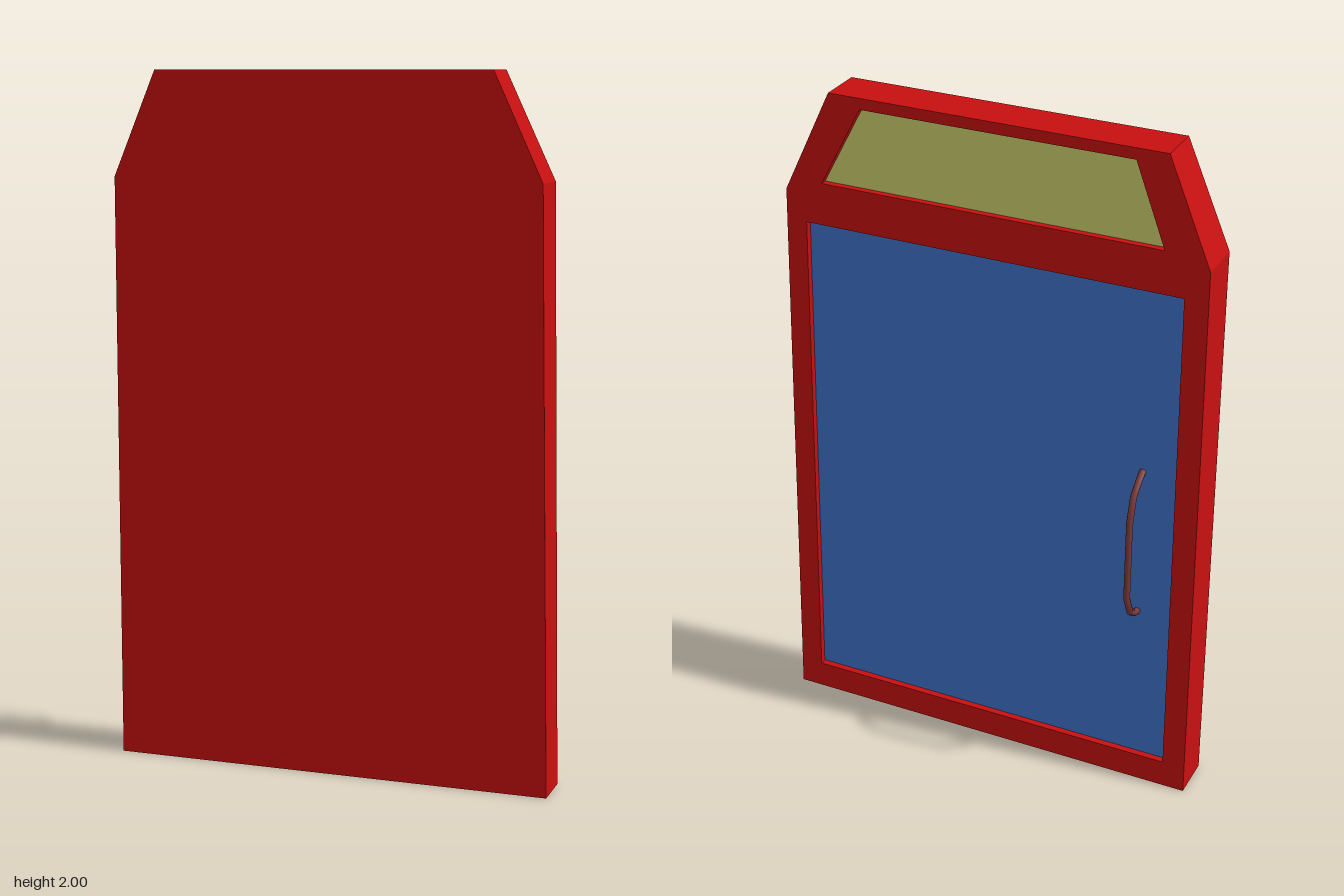
import * as THREE from 'three';

const FRONT_Z = 0.105; // flat front of the door
const SEAM_Z = 0;      // where the back frame meets the slab
const RECESS = 0.02;   // how deep the panes sit in the frame

// The back leans out to a crease at y = 1.7, then in again.
const backZ = (y) => (y < 1.7 ? -0.027 - 0.009 * (y / 1.7) : -0.036 + 0.009 * ((y - 1.7) / 0.3));

const toShape = (pts) => new THREE.Shape(pts.map(([x, y]) => new THREE.Vector2(x, y)));

// Extrudes a shape, then places its front and back faces by rule.
function plate(name, pts, holes, material, front, back) {
  const shape = toShape(pts);
  holes.forEach((h) => shape.holes.push(toShape(h)));
  const geometry = new THREE.ExtrudeGeometry(shape, { depth: 1, bevelEnabled: false });
  const pos = geometry.attributes.position;
  for (let i = 0; i < pos.count; i++) {
    pos.setZ(i, pos.getZ(i) > 0.5 ? front : back(pos.getY(i)));
  }
  geometry.computeVertexNormals();
  const mesh = new THREE.Mesh(geometry, material);
  mesh.name = name;
  return mesh;
}

// Straight segments through the points, one tube section per point.
class Polyline extends THREE.Curve {
  constructor(points) {
    super();
    this.points = points;
  }
  getPoint(t, target = new THREE.Vector3()) {
    const s = t * (this.points.length - 1);
    const i = Math.min(Math.floor(s + 1e-6), this.points.length - 2);
    return target.lerpVectors(this.points[i], this.points[i + 1], s - i);
  }
  getPointAt(u, target) {
    return this.getPoint(u, target);
  }
  getTangentAt(u, target = new THREE.Vector3()) {
    const a = this.getPoint(Math.max(0, u - 0.02));
    const b = this.getPoint(Math.min(1, u + 0.02));
    return target.subVectors(b, a).normalize();
  }
}

export function createModel() {
  const red = new THREE.MeshStandardMaterial({ color: 0xc81010 });
  const blue = new THREE.MeshStandardMaterial({ color: 0x3f72cc });
  const yellow = new THREE.MeshStandardMaterial({ color: 0xcfd06c });
  const brown = new THREE.MeshStandardMaterial({ color: 0x7a3a38 });
  red.name = 'red paint';
  blue.name = 'blue pane';
  yellow.name = 'yellow pane';
  brown.name = 'brown handle';

  // Outlines of the door halves and the two openings
  const lower = [[-0.645, 0], [0.645, 0], [0.61, 1.7], [-0.643, 1.7]];
  const upper = [[-0.643, 1.7], [0.61, 1.7], [0.47, 2], [-0.515, 2]];
  const whole = [lower[0], lower[1], upper[1], upper[2], upper[3], upper[0]];
  const mainOpening = [[-0.577, 0.085], [0.575, 0.085], [0.55, 1.61], [-0.575, 1.61]];
  const topOpening = [[-0.515, 1.735], [0.497, 1.735], [0.375, 1.968], [-0.425, 1.968]];

  const door = new THREE.Group();
  door.name = 'door';

  // Solid slab and raised back frame
  const rim = (y) => backZ(y);
  const pane = (y) => backZ(y) + RECESS;
  door.add(
    plate('doorSlab', whole, [], red, FRONT_Z, () => SEAM_Z),
    plate('lowerFrame', lower, [mainOpening], red, SEAM_Z, rim),
    plate('upperFrame', upper, [topOpening], red, SEAM_Z, rim),
    plate('mainPane', mainOpening, [], blue, SEAM_Z, pane),
    plate('topPane', topOpening, [], yellow, SEAM_Z, pane),
  );

  // Bent pull handle, as [y, z] points
  const bends = [[1.05, -0.01], [1.035, -0.035], [1.0, -0.075], [0.925, -0.097],
    [0.68, -0.097], [0.615, -0.067], [0.592, -0.035], [0.585, -0.01]];
  const path = new Polyline(bends.map(([y, z]) => new THREE.Vector3(-0.471, y, z)));
  const handle = new THREE.Mesh(new THREE.TubeGeometry(path, bends.length - 1, 0.01, 8), brown);
  handle.name = 'handle';
  door.add(handle);

  return door;
}
